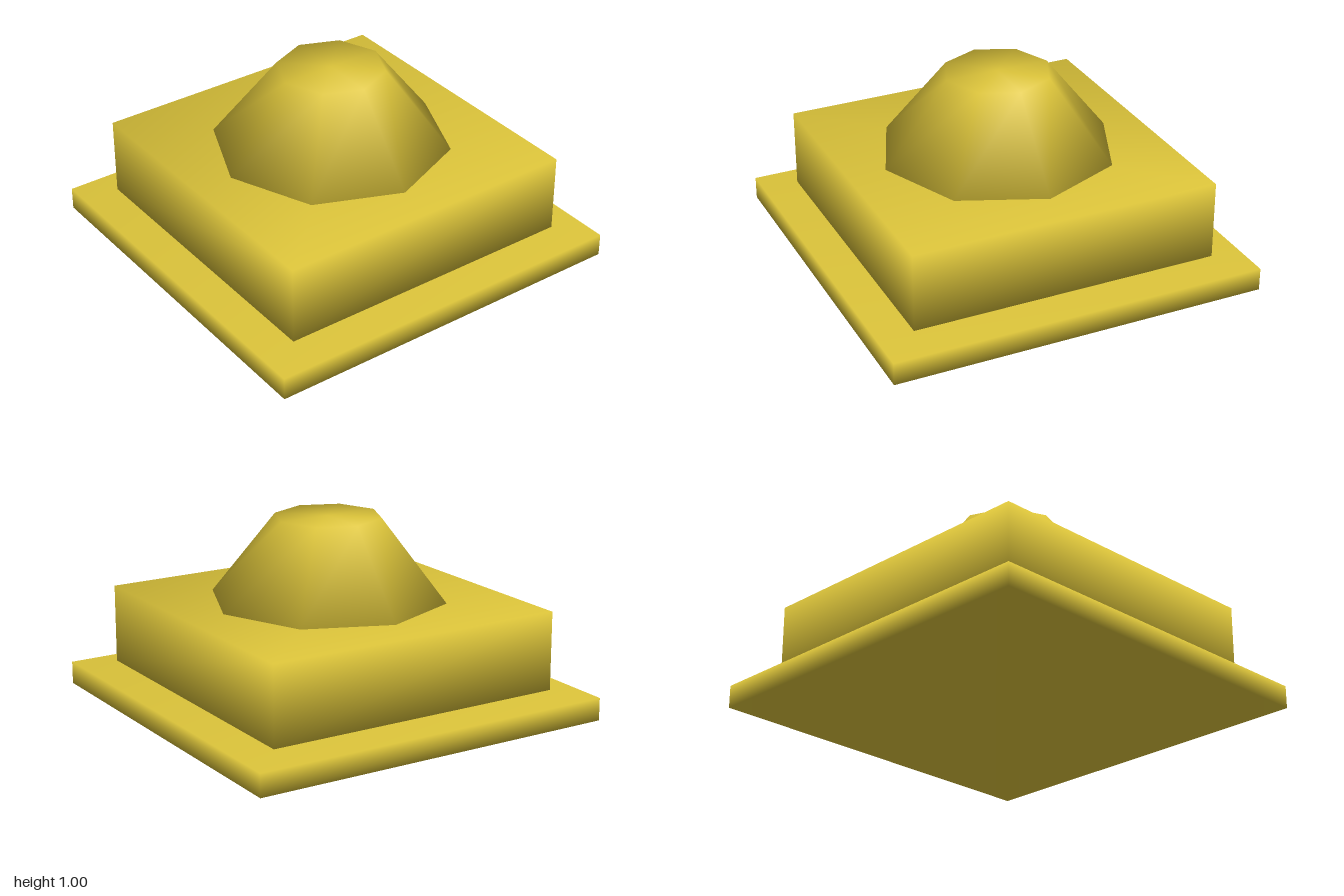
import * as THREE from 'three';
import { mergeVertices } from 'three/addons/utils/BufferGeometryUtils.js';

// Weld the corners so each solid shades softly across its edges
function soften(geometry) {
  geometry.deleteAttribute('normal');
  geometry.deleteAttribute('uv');
  const welded = mergeVertices(geometry, 1e-4);
  welded.computeVertexNormals();
  return welded;
}

export function createModel() {
  const gold = new THREE.MeshStandardMaterial({ color: 0xdcc43a });
  gold.name = 'gold';
  const model = new THREE.Group();
  model.name = 'steppedPedestal';

  // Adds a solid standing between two heights
  function addPart(name, geometry, bottom, top) {
    const mesh = new THREE.Mesh(soften(geometry), gold);
    mesh.name = name;
    mesh.position.y = (bottom + top) / 2;
    model.add(mesh);
  }

  // Square slabs, separated by a narrow gap: name, width, bottom, top
  for (const [name, width, bottom, top] of [
    ['basePlate', 2, 0, 0.12],
    ['middleBlock', 1.64, 0.145, 0.56],
  ]) {
    addPart(name, new THREE.BoxGeometry(width, top - bottom, width), bottom, top);
  }

  // Eight-sided tapered cap with a flat top
  addPart('taperedCap', new THREE.CylinderGeometry(0.28, 0.62, 0.43, 8), 0.57, 1);

  return model;
}
